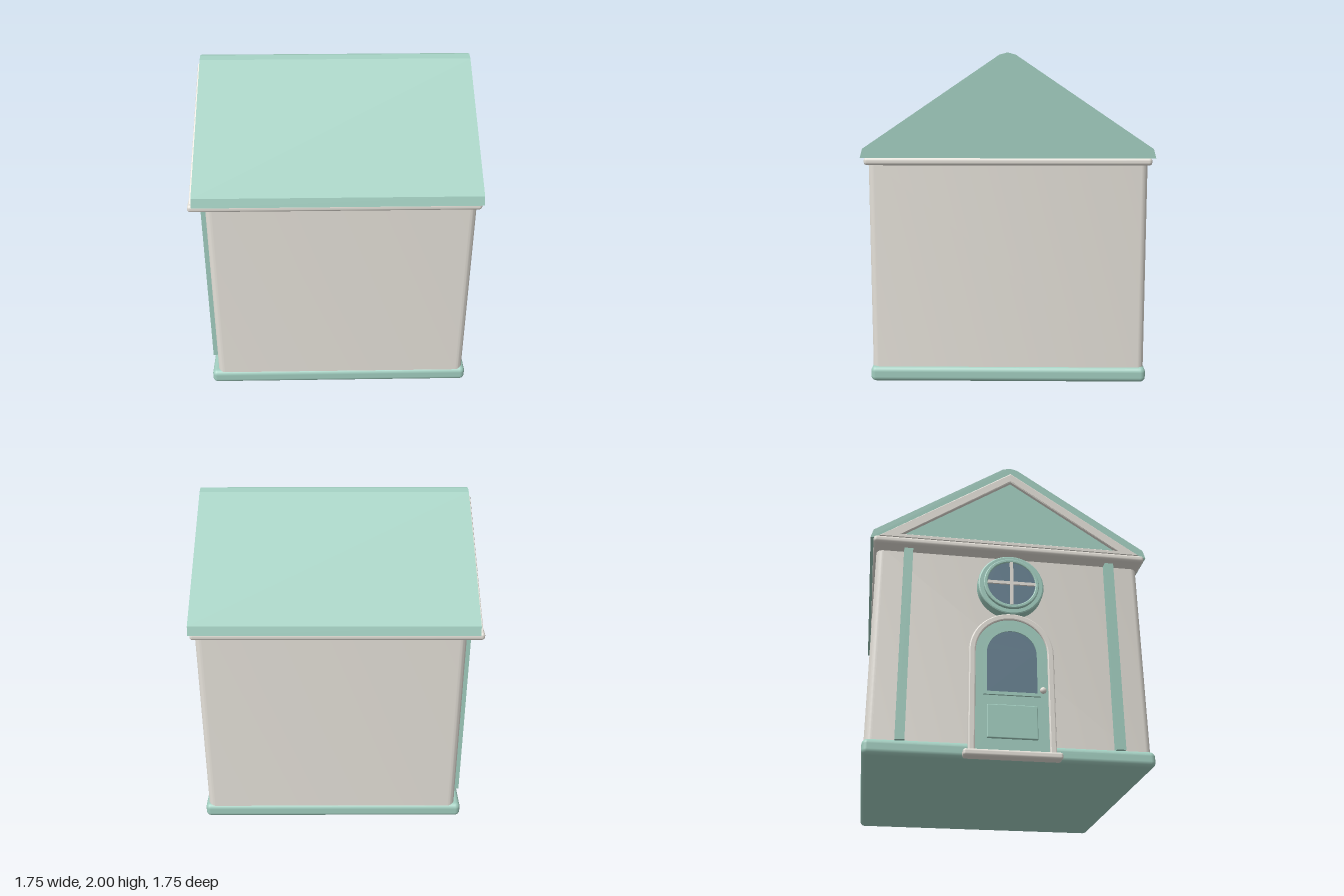
import * as THREE from 'three';
import { RoundedBoxGeometry } from 'three/addons/geometries/RoundedBoxGeometry.js';
import { toCreasedNormals } from 'three/addons/utils/BufferGeometryUtils.js';

const mat = (name, color) => new THREE.MeshStandardMaterial({ name, color });

// Arched outline: straight sides, half-round top
function arch(half, bottom, spring, Type = THREE.Shape) {
  const s = new Type();
  s.moveTo(-half, bottom);
  s.lineTo(half, bottom);
  s.lineTo(half, spring);
  s.absarc(0, spring, half, 0, Math.PI, false);
  s.closePath();
  return s;
}

// Arched band, open at the foot
function archBand(outer, inner, bottom, spring) {
  const s = new THREE.Shape();
  s.moveTo(outer, bottom);
  s.lineTo(outer, spring);
  s.absarc(0, spring, outer, 0, Math.PI, false);
  s.lineTo(-outer, bottom);
  s.lineTo(-inner, bottom);
  s.lineTo(-inner, spring);
  s.absarc(0, spring, inner, Math.PI, 0, true);
  s.lineTo(inner, bottom);
  s.closePath();
  return s;
}

function disc(r, y, Type = THREE.Shape) {
  const s = new Type();
  s.absarc(0, y, r, 0, Math.PI * 2, false);
  return s;
}

function polygon(points, Type = THREE.Shape) {
  return new Type(points.map(([a, b]) => new THREE.Vector2(a, b)));
}

function roundedRect(w, d, r) {
  const s = new THREE.Shape();
  const x = w / 2 - r, y = d / 2 - r;
  s.absarc(x, y, r, 0, Math.PI / 2, false);
  s.absarc(-x, y, r, Math.PI / 2, Math.PI, false);
  s.absarc(-x, -y, r, Math.PI, Math.PI * 1.5, false);
  s.absarc(x, -y, r, Math.PI * 1.5, Math.PI * 2, false);
  s.closePath();
  return s;
}

export function createModel() {
  const group = new THREE.Group();
  group.name = 'cottage';
  const stone = mat('warm stone', 0xe4e0d8);
  const green = mat('sage green', 0xa1cdbf);
  const glass = mat('blue glass', 0x647f90);

  const add = (name, geometry, material, x = 0, y = 0, z = 0) => {
    const m = new THREE.Mesh(geometry, material);
    m.name = name;
    m.position.set(x, y, z);
    group.add(m);
    return m;
  };
  // Rounded block given by its limits along x and y and its half depth
  const block = (name, material, x0, x1, y0, y1, halfZ, r) =>
    add(name, new RoundedBoxGeometry(x1 - x0, y1 - y0, halfZ * 2, 3, r), material,
      (x0 + x1) / 2, (y0 + y1) / 2);
  // Shape in (z, y), extruded from x = inner out towards x = outer (-x side)
  const facade = (name, shape, material, inner, outer, bevel = 0) => {
    const g = new THREE.ExtrudeGeometry(shape, {
      depth: inner - outer - bevel, curveSegments: 20,
      bevelEnabled: bevel > 0, bevelThickness: bevel, bevelSize: bevel,
      bevelOffset: -bevel, bevelSegments: 2,
    });
    g.rotateY(-Math.PI / 2);
    return add(name, toCreasedNormals(g, 0.3), material, inner);
  };

  // Walls with rounded upright corners
  const walls = new THREE.ExtrudeGeometry(roundedRect(1.625, 1.67, 0.045),
    { depth: 1.32, bevelEnabled: false, curveSegments: 6 });
  walls.rotateX(-Math.PI / 2);
  add('walls', toCreasedNormals(walls, 0.6), stone, 0.0325, 0.03, 0);

  // Plinth and cornice
  block('plinth', green, -0.82, 0.865, 0, 0.095, 0.845, 0.032);
  block('cornice', stone, -0.88, 0.87, 1.34, 1.388, 0.856, 0.02);

  // Roof prism with a blunted ridge and short eaves
  facade('roof', polygon([
    [-0.875, 1.385], [0.875, 1.385], [0.86, 1.44],
    [0.048, 1.987], [0, 2], [-0.048, 1.987], [-0.86, 1.44],
  ]), green, 0.875, -0.85);

  // Triangular gable frame
  const gable = polygon([[-0.83, 1.388], [0.83, 1.388], [0, 1.947]]);
  gable.holes.push(polygon([[-0.68, 1.415], [0, 1.873], [0.68, 1.415]], THREE.Path));
  facade('gableFrame', gable, stone, -0.845, -0.87, 0.01);

  // Pilasters
  for (const side of [-1, 1]) {
    add(side < 0 ? 'rightPilaster' : 'leftPilaster',
      new THREE.BoxGeometry(0.07, 1.26, 0.055), green, -0.795, 0.72, side * 0.637);
  }

  // Door surround, door leaf and step
  facade('doorSurround', archBand(0.255, 0.215, 0.03, 0.665), stone, -0.77, -0.842, 0.008);
  facade('door', arch(0.225, 0.03, 0.665), green, -0.77, -0.832);
  block('doorStep', stone, -0.87, -0.75, 0.003, 0.045, 0.285, 0.015);

  // Door window, lower panel and knob
  const rim = arch(0.17, 0.385, 0.65);
  rim.holes.push(arch(0.15, 0.405, 0.65, THREE.Path));
  facade('doorWindowRim', rim, green, -0.83, -0.845);
  facade('doorWindowGlass', arch(0.155, 0.4, 0.65), glass, -0.83, -0.839);
  block('doorPanel', green, -0.846, -0.826, 0.12, 0.325, 0.148, 0.006);
  const knob = add('doorKnob', new THREE.SphereGeometry(0.02, 16, 10), stone, -0.857, 0.42, 0.18);
  knob.scale.x = 0.8;

  // Round window: deep ring, raised inner ring, glass and cross bars
  const cy = 1.122;
  facade('roundWindowFrame', disc(0.205, cy), green, -0.77, -0.845, 0.01);
  const inner = disc(0.172, cy);
  inner.holes.push(disc(0.148, cy, THREE.Path));
  facade('roundWindowInnerRing', inner, green, -0.84, -0.864, 0.006);
  facade('roundWindowGlass', disc(0.152, cy), glass, -0.84, -0.857);
  add('uprightBar', new THREE.BoxGeometry(0.016, 0.296, 0.02), stone, -0.86, cy, 0);
  add('crossBar', new THREE.BoxGeometry(0.016, 0.02, 0.296), stone, -0.86, cy, 0);

  return group;
}
